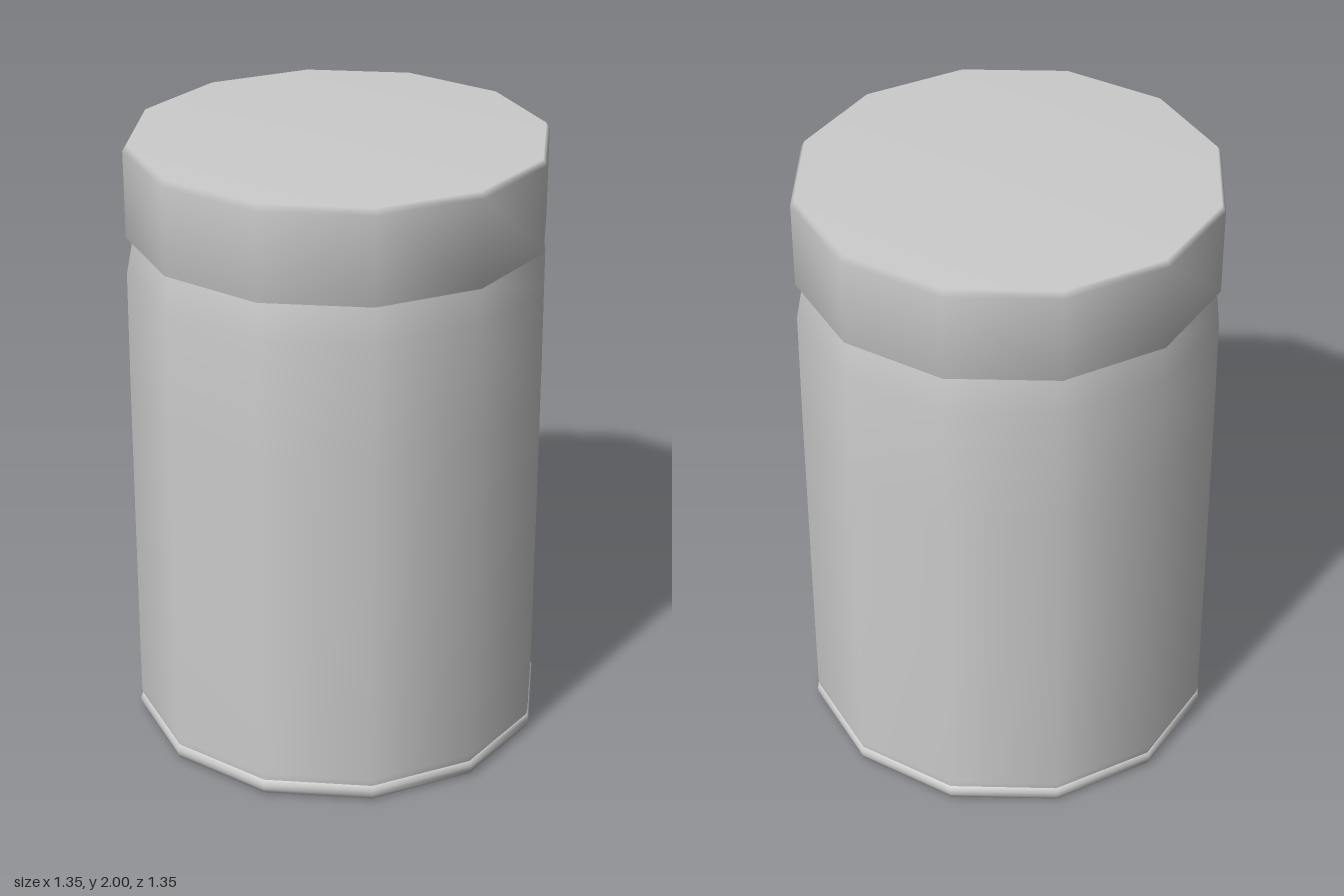
import * as THREE from 'three';

const SIDES = 12;

// Twelve-sided turned part with smooth normals; profile runs bottom to top as [radius, y].
function turned(name, profile) {
  const points = profile.map(([r, y]) => new THREE.Vector2(r, y));
  const material = new THREE.MeshStandardMaterial({ color: 0xcccccc, side: THREE.DoubleSide });
  const mesh = new THREE.Mesh(new THREE.LatheGeometry(points, SIDES), material);
  mesh.name = name;
  return mesh;
}

export function createModel() {
  const group = new THREE.Group();
  group.name = 'jar';

  // Base with a slightly protruding rounded rim
  group.add(turned('base', [
    [0, 0.005], [0.64, 0.005], [0.65, 0], [0.668, 0.008], [0.675, 0.025], [0.675, 0.04], [0.668, 0.055], [0.65, 0.055],
  ]));

  // Gently tapered body with a shoulder running up under the lid
  group.add(turned('body', [
    [0.665, 0.04], [0.671, 0.08], [0.67, 0.64], [0.668, 1.2], [0.665, 1.58], [0.64, 1.71],
  ]));

  // Overhanging lid with a small bevel around the top
  group.add(turned('lid', [
    [0.6, 1.7], [0.664, 1.7], [0.664, 1.98], [0.652, 2], [0, 2],
  ]));

  return group;
}
